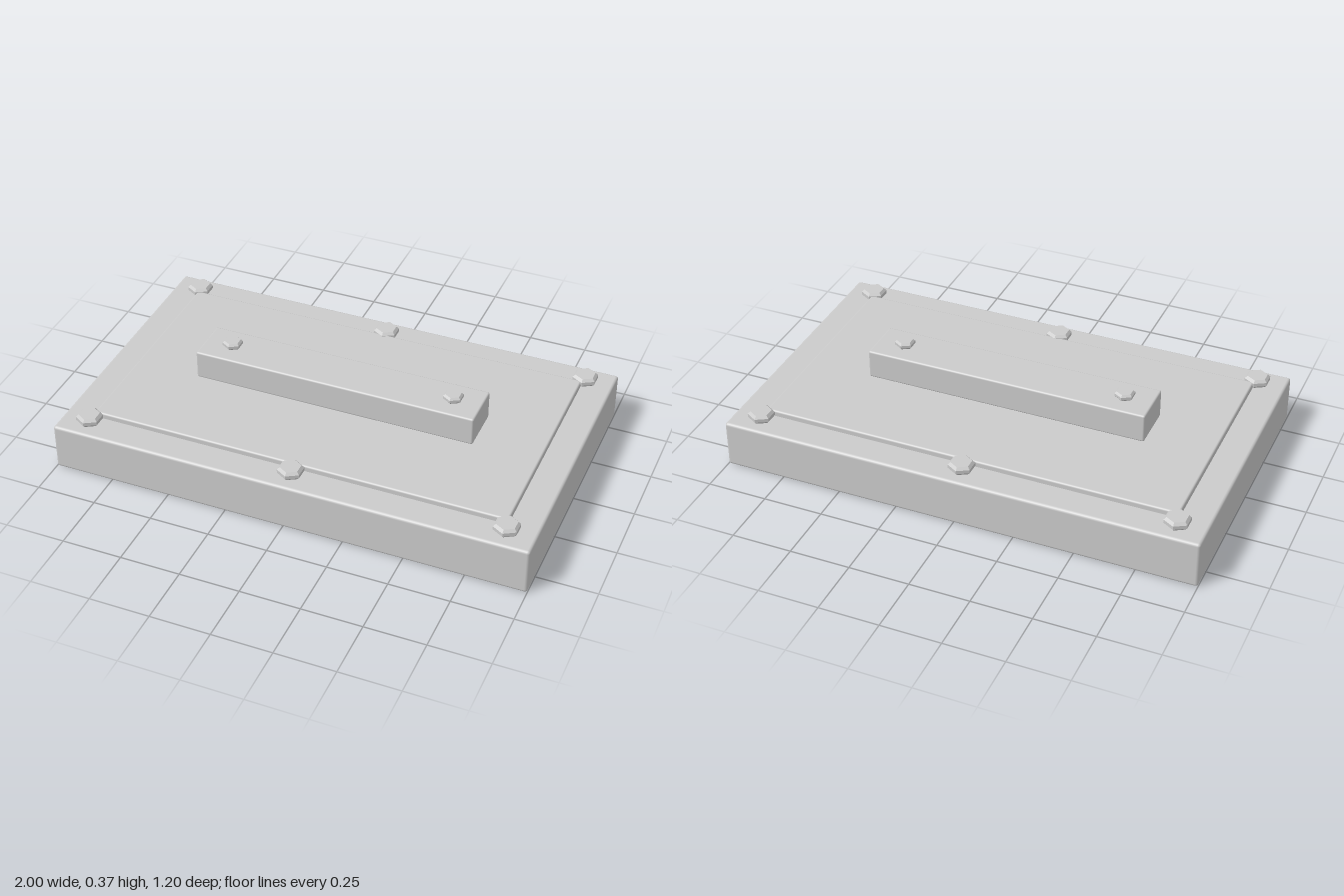
import * as THREE from 'three';
import { RoundedBoxGeometry } from 'three/addons/geometries/RoundedBoxGeometry.js';

export function createModel() {
  const group = new THREE.Group();
  const smooth = new THREE.MeshStandardMaterial({ color: 0xcccccc });
  const faceted = new THREE.MeshStandardMaterial({ color: 0xcccccc, flatShading: true });

  // Slab with softened edges, given by its bottom and top heights
  function slab(name, width, depth, y0, y1, radius) {
    const mesh = new THREE.Mesh(new RoundedBoxGeometry(width, y1 - y0, depth, 2, radius), smooth);
    mesh.name = name;
    mesh.position.y = (y0 + y1) / 2;
    group.add(mesh);
  }

  // Hexagonal bolt head, chamfered above and below, corners towards +z and -z
  function boltGeometry(r, h) {
    const c = h * 0.3;
    const profile = [[0, 0], [r - c, 0], [r, c], [r, h - c], [r - c, h], [0, h]];
    return new THREE.LatheGeometry(profile.map(([x, y]) => new THREE.Vector2(x, y)), 6);
  }

  function bolt(name, geometry, x, y, z) {
    const mesh = new THREE.Mesh(geometry, faceted);
    mesh.name = name;
    mesh.position.set(x, y, z);
    group.add(mesh);
  }

  slab('basePlate', 2, 1.2, 0, 0.2, 0.012);
  slab('raisedPanel', 1.75, 0.95, 0.19, 0.224, 0.008);
  slab('handleBar', 1.2, 0.2, 0.222, 0.345, 0.008);

  // Six bolts round the panel
  const large = boltGeometry(0.054, 0.037);
  for (const x of [-0.88, 0, 0.88]) {
    for (const z of [-0.51, 0.51]) bolt('plateBolt', large, x, 0.2, z);
  }

  // Two small bolts on the bar
  const small = boltGeometry(0.042, 0.028);
  for (const x of [-0.48, 0.48]) bolt('barBolt', small, x, 0.345, 0);

  return group;
}
